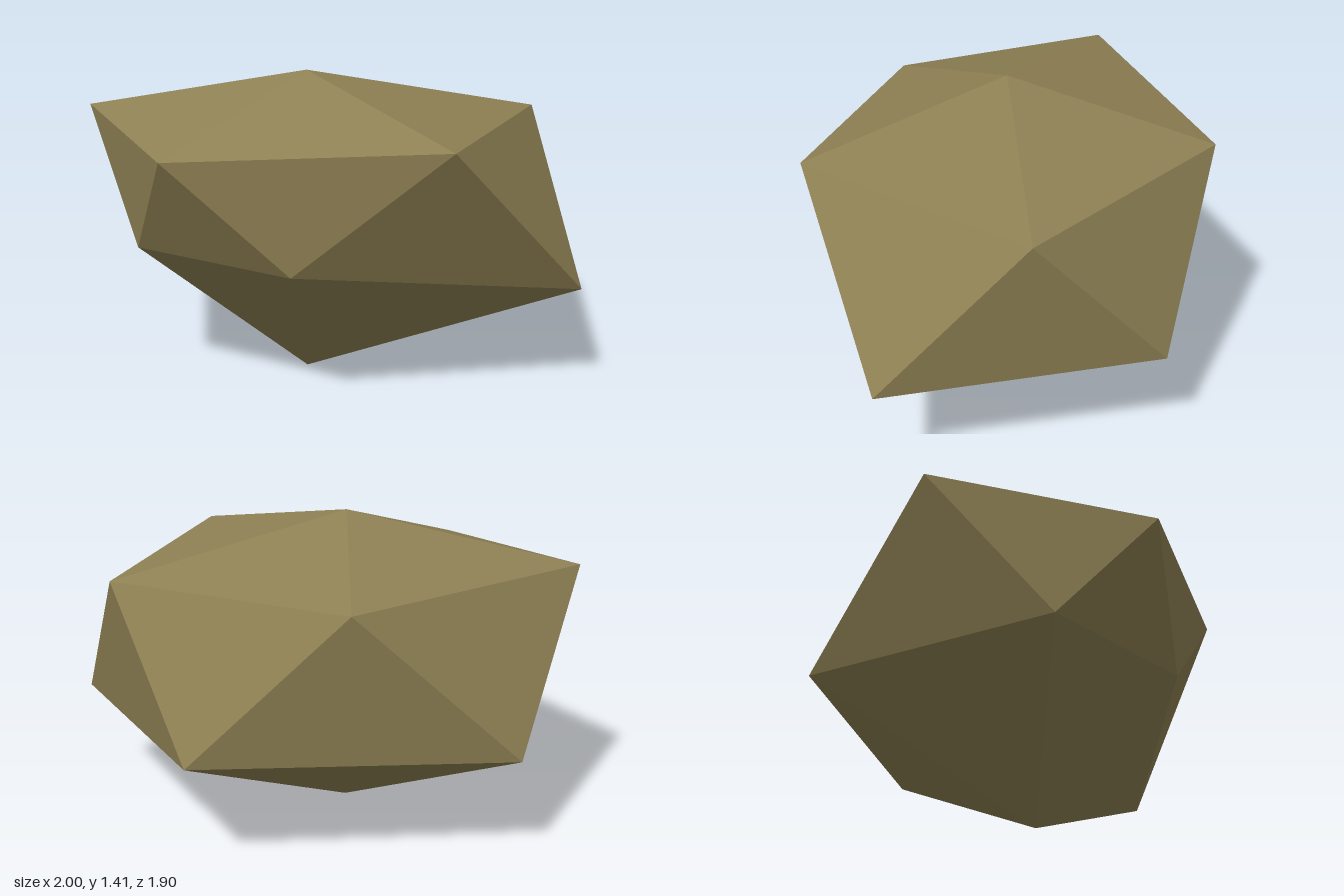
import * as THREE from 'three';

// A faceted boulder: two staggered rings of five corners between a top and a bottom point.
export function createModel() {
  const stone = new THREE.MeshStandardMaterial({ color: 0x8f8154 });
  stone.name = 'olive brown stone';

  const top = [-0.1, 1.41, 0.04];
  const bottom = [-0.1, 0, 0.04];
  const upper = [[1, 1.19, 0.04], [0.26, 1.21, 0.95], [-0.85, 1.14, 0.49], [-1, 1.2, -0.51], [0.245, 1.2, -0.84]];
  const lower = [[0.975, 0.49, 0.69], [-0.34, 0.65, 0.65], [-0.88, 0.65, 0.04], [-0.49, 0.505, -0.955], [0.865, 0.525, -0.545]];

  // Cap, zigzag side band and underside, one sector at a time
  const corners = [];
  for (let i = 0; i < 5; i++) {
    const j = (i + 1) % 5;
    corners.push(
      top, upper[j], upper[i],
      upper[i], upper[j], lower[i],
      lower[i], upper[j], lower[j],
      lower[i], lower[j], bottom
    );
  }

  // Unshared corners keep every facet flat
  const geometry = new THREE.BufferGeometry();
  geometry.setAttribute('position', new THREE.Float32BufferAttribute(corners.flat(), 3));
  geometry.computeVertexNormals();

  const rock = new THREE.Mesh(geometry, stone);
  rock.name = 'rock';
  const group = new THREE.Group();
  group.name = 'boulder';
  group.add(rock);
  return group;
}
